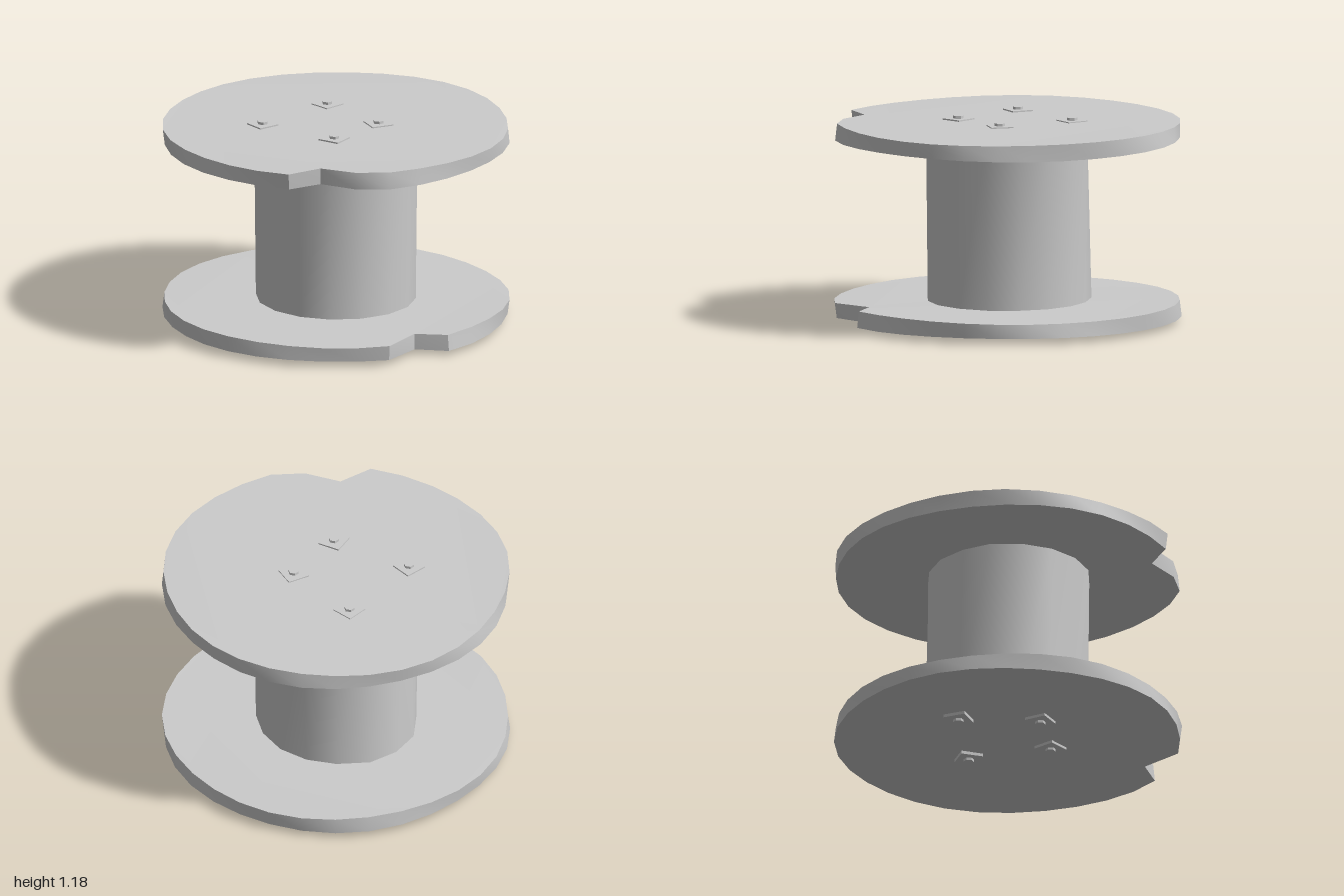
import * as THREE from 'three';
import { toCreasedNormals } from 'three/addons/utils/BufferGeometryUtils.js';

const material = new THREE.MeshStandardMaterial({ color: 0xcccccc });
const STEPS = 32;

function addMesh(parent, name, geometry) {
  const mesh = new THREE.Mesh(geometry, material);
  mesh.name = name;
  parent.add(mesh);
  return mesh;
}

// Worn flange: a 32-sided disc whose rim steps from..to are replaced by a chipped notch
function flangeGeometry(y, height, notch, phase) {
  const points = [];
  for (let i = 0; i < STEPS; i++) {
    if (i === notch.from) notch.points.forEach(([x, z]) => points.push(new THREE.Vector2(x, -z)));
    if (i >= notch.from && i <= notch.to) continue;
    const a = (i / STEPS) * Math.PI * 2;
    points.push(new THREE.Vector2(Math.cos(a), -Math.sin(a)));
  }
  const geometry = new THREE.ExtrudeGeometry(new THREE.Shape(points), { depth: height, bevelEnabled: false });
  geometry.rotateX(-Math.PI / 2);
  // Uneven rim: radius and height vary with the angle
  const p = geometry.attributes.position;
  for (let i = 0; i < p.count; i++) {
    const x = p.getX(i), z = p.getZ(i), h = p.getY(i);
    const a = Math.atan2(z, x);
    const side = h > height / 2 ? 0 : 2.1;
    const k = 1 - 0.007 * (1 + Math.sin(5 * a + phase + side));
    p.setXYZ(i, x * k, y + h + 0.004 * Math.sin(3 * a + phase + side), z * k);
  }
  return toCreasedNormals(geometry, 0.6);
}

// Square washer with a hexagonal bolt head; dir is +1 facing up, -1 facing down
function addBolt(parent, name, x, z, y, turn, dir) {
  const bolt = new THREE.Group();
  bolt.name = name;
  addMesh(bolt, 'washerPlate', new THREE.BoxGeometry(0.13, 0.024, 0.13)).rotation.y = turn;
  const head = new THREE.CylinderGeometry(0.03, 0.03, 0.03, 6).toNonIndexed();
  head.computeVertexNormals();
  addMesh(bolt, 'boltHead', head).position.y = dir * 0.012;
  bolt.position.set(x, y, z);
  parent.add(bolt);
}

export function createModel() {
  const spool = new THREE.Group();
  spool.name = 'cableSpool';

  // Flanges
  addMesh(spool, 'topFlange', flangeGeometry(1.062, 0.092,
    { from: 3, to: 4, points: [[0.79, 0.53], [0.59, 0.62]] }, 0.5));
  addMesh(spool, 'bottomFlange', flangeGeometry(0.032, 0.088,
    { from: 1, to: 1, points: [[0.85, 0.13]] }, 2.6));

  // Core drum, with the boards on two sides leaning slightly outwards
  const core = new THREE.CylinderGeometry(0.475, 0.465, 0.98, 16, 1, true);
  core.translate(0, 0.59, 0);
  const p = core.attributes.position;
  for (let i = 0; i < p.count; i++) {
    const x = p.getX(i), y = p.getY(i), z = p.getZ(i);
    const low = y < 0.5;
    p.setX(i, x < -0.4 ? (low ? x - 0.025 : x + 0.015) : x);
    p.setZ(i, z < -0.4 ? (low ? z + 0.015 : z - 0.018) : z * 0.98);
  }
  addMesh(spool, 'coreDrum', toCreasedNormals(core, 0.6));

  // Four bolts on each outer face: x, z, washer turn
  const topBolts = [[-0.31, -0.2, 0.05], [0.16, -0.185, -0.29], [0.215, 0.195, 0.29], [-0.26, 0.33, -0.06]];
  const bottomBolts = [[0.25, 0.06, 0.3], [-0.07, -0.31, -0.25], [0, 0.34, 0.5], [-0.41, 0.11, 0.6]];
  topBolts.forEach(([x, z, t], i) => addBolt(spool, `topBolt${i + 1}`, x, z, 1.149, t, 1));
  bottomBolts.forEach(([x, z, t], i) => addBolt(spool, `bottomBolt${i + 1}`, x, z, 0.027, t, -1));

  return spool;
}
